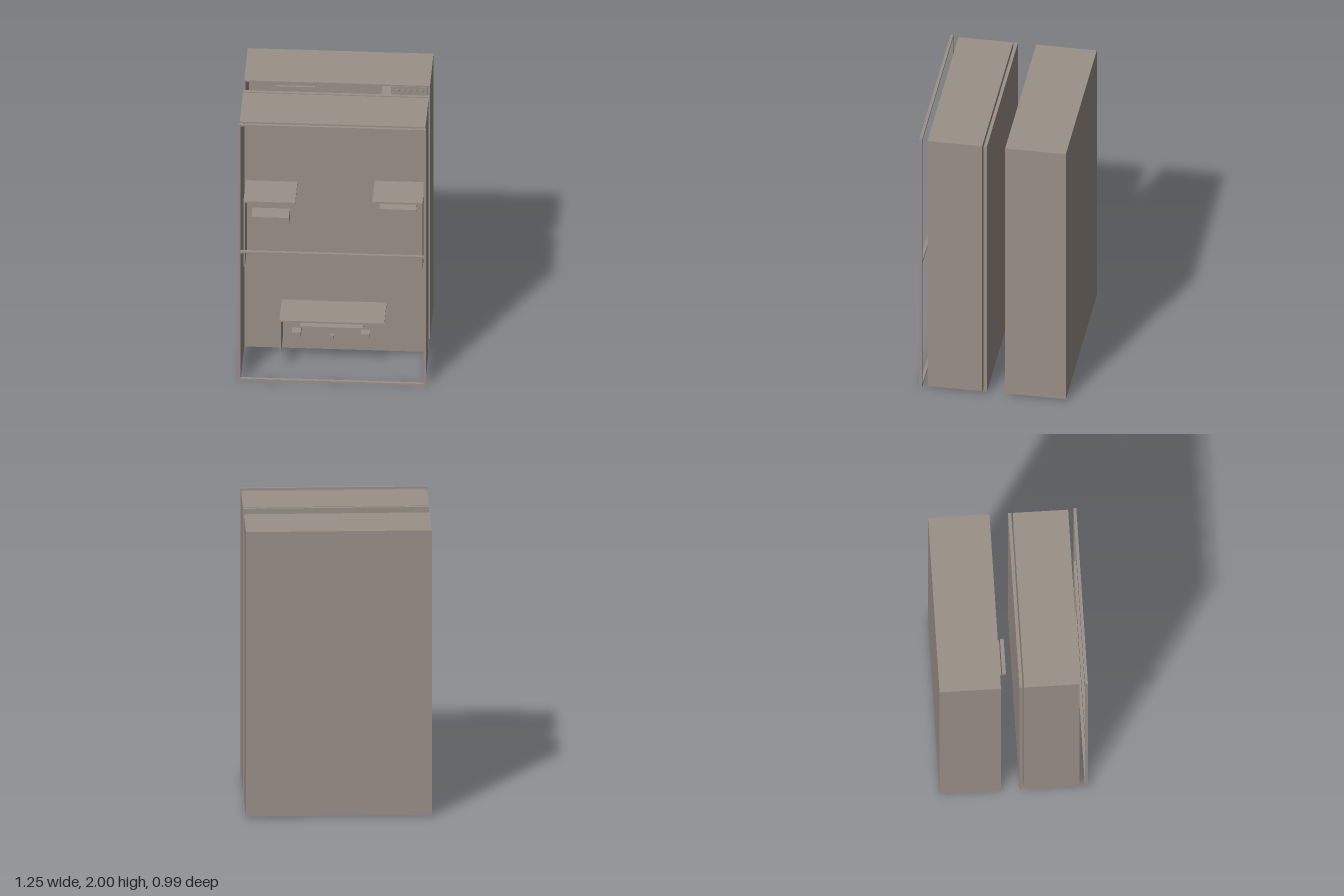
import * as THREE from 'three';

const casing = new THREE.MeshStandardMaterial({ color: 0x9a9088 });
casing.name = 'warmGrey';

export function createModel() {
  const model = new THREE.Group();

  const group = (name) => {
    const g = new THREE.Group();
    g.name = name;
    model.add(g);
    return g;
  };
  // Box given by its limits along each axis
  const box = (parent, name, x0, x1, y0, y1, z0, z1) => {
    const m = new THREE.Mesh(new THREE.BoxGeometry(x1 - x0, y1 - y0, z1 - z0), casing);
    m.name = name;
    m.position.set((x0 + x1) / 2, (y0 + y1) / 2, (z0 + z1) / 2);
    parent.add(m);
  };
  // Round bar or knob
  const rod = (parent, name, r, length, x, y, z, alongX) => {
    const m = new THREE.Mesh(new THREE.CylinderGeometry(r, r, length, 16), casing);
    m.name = name;
    if (alongX) m.rotation.z = Math.PI / 2;
    else m.rotation.x = Math.PI / 2;
    m.position.set(x, y, z);
    parent.add(m);
  };

  // Open shell: back, two sides and top, with no front and no floor
  const shell = (name, z0, z1) => {
    const g = group(name), t = 0.01, w = 0.62;
    box(g, 'backWall', -w, w, 0.01, 1.99, z0, z0 + t);
    for (const s of [-1, 1])
      box(g, s > 0 ? 'leftWall' : 'rightWall', s > 0 ? w - t : -w, s > 0 ? w : t - w, 0.01, 1.99, z0 + t, z1);
    box(g, 'topWall', -w + t, w - t, 1.99 - t, 1.99, z0 + t, z1);
    return g;
  };
  const front = shell('frontShell', 0.07, 0.44);
  const rear = shell('rearShell', -0.495, -0.085);

  // Slim frame in front, with a rail across the middle
  const frame = group('frontFrame');
  for (const y of [0, 0.994, 1.986]) box(frame, 'rail', -0.625, 0.625, y, y + 0.014, 0.475, 0.495);
  for (const x of [-0.625, 0.611]) box(frame, 'post', x, x + 0.014, 0.014, 1.986, 0.475, 0.495);

  // Panel between the two shells
  box(model, 'dividerPanel', -0.62, 0.62, 0.01, 1.99, 0.038, 0.06);

  // Hooded compartments inside the front shell
  const hood = (name, x0, x1, y0, y1, side) => {
    const g = group(name), t = 0.012;
    box(g, 'hoodTop', x0, x1, y1 - t, y1, 0.08, 0.35);
    box(g, 'hoodBack', x0, x1, y0, y1 - t, 0.08, 0.09);
    if (side < 0) box(g, 'hoodSide', x0, x0 + 0.01, y0, y1 - t, 0.09, 0.35);
    else box(g, 'hoodSide', x1 - 0.01, x1, y0, y1 - t, 0.09, 0.35);
    return g;
  };
  const upperRight = hood('upperRightCompartment', -0.6, -0.255, 0.8, 1.312, -1);
  box(upperRight, 'innerBlock', -0.555, -0.305, 1.03, 1.105, 0.09, 0.21);
  const upperLeft = hood('upperLeftCompartment', 0.26, 0.595, 0.82, 1.338, 1);
  box(upperLeft, 'pullBar', 0.31, 0.555, 1.295, 1.308, 0.31, 0.39);
  const lower = hood('lowerCompartment', -0.36, 0.34, 0.12, 0.387, -1);
  box(lower, 'pullBar', -0.22, 0.2, 0.363, 0.374, 0.32, 0.395);
  for (const x of [-0.28, 0.18]) box(lower, 'sideBlock', x, x + 0.06, 0.245, 0.277, 0.25, 0.315);
  box(lower, 'middleBlock', -0.028, -0.003, 0.2, 0.225, 0.23, 0.26);

  // Tray sliding out of the bottom of the rear shell, with a raised rim
  const tray = group('bottomTray');
  box(tray, 'trayPlate', -0.13, 0.23, 0.025, 0.042, -0.46, -0.055);
  for (const x of [-0.13, 0.215]) box(tray, 'trayRim', x, x + 0.015, 0.01, 0.025, -0.46, -0.055);
  for (const z of [-0.46, -0.07]) box(tray, 'trayRim', -0.115, 0.215, 0.01, 0.025, z, z + 0.015);

  // Floating handle and its mounting plate
  box(model, 'handleBar', -0.425, -0.18, 1.72, 1.752, -0.065, -0.04);
  box(model, 'handlePlate', -0.44, -0.195, 1.735, 1.765, -0.085, -0.072);

  // Control strip and display plate at the top of the rear shell
  box(rear, 'controlStrip', 0.36, 0.6, 1.9, 1.965, -0.12, -0.105);
  for (let i = 0; i < 5; i++) rod(rear, 'knob', 0.015, 0.012, 0.4 + i * 0.04, 1.932, -0.1, false);
  box(rear, 'displayPlate', -0.41, -0.15, 1.89, 1.94, -0.12, -0.105);

  // Shelves and rollers inside the rear shell
  for (const y of [1.74, 1.55, 0.65, 0.4]) box(rear, 'shelf', 0.28, 0.605, y - 0.012, y + 0.012, -0.48, -0.11);
  for (const y of [1.13, 0.94]) rod(rear, 'roller', 0.03, 0.3, 0.45, y, -0.13, true);

  return model;
}
